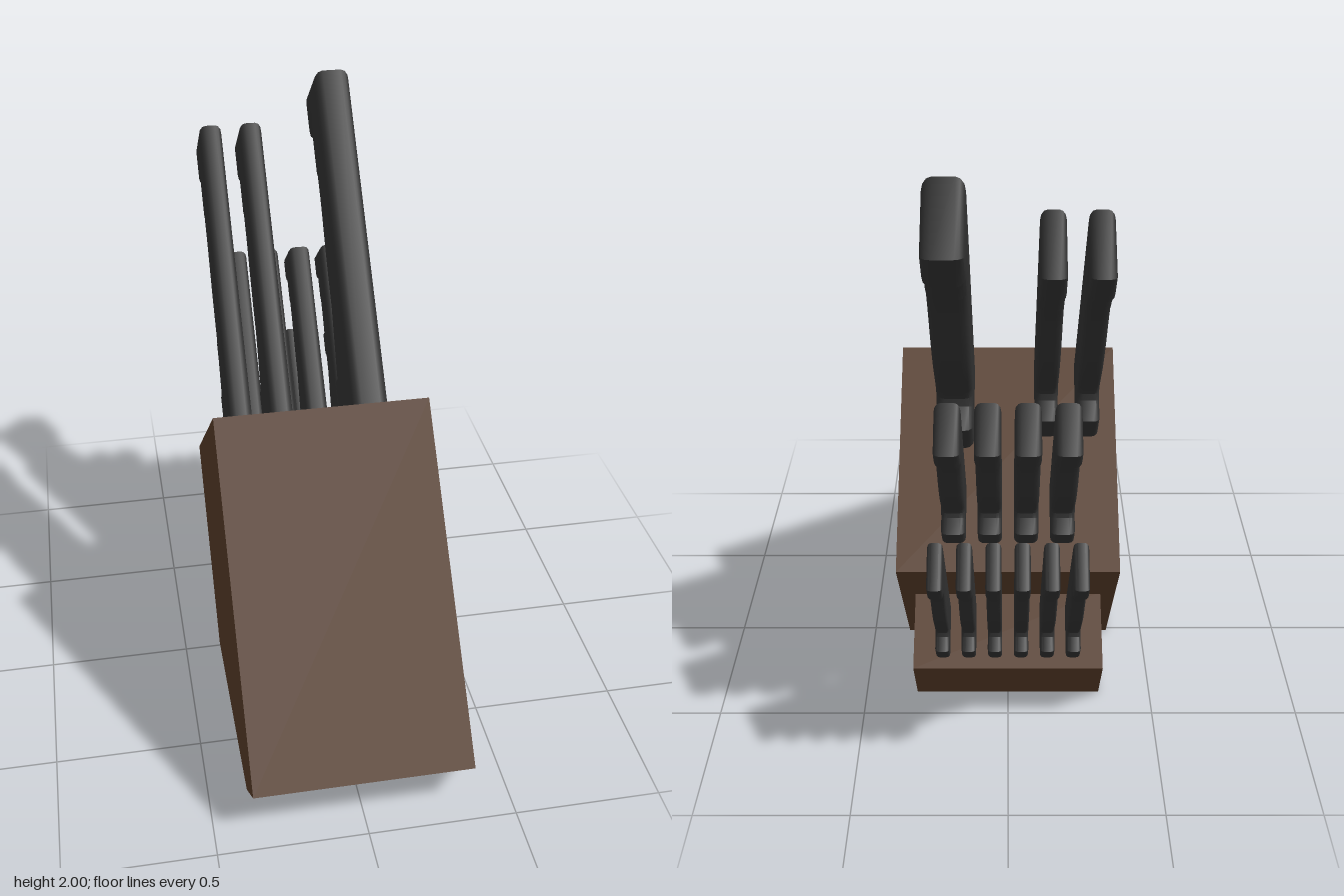
import * as THREE from 'three';
import { toCreasedNormals } from 'three/addons/utils/BufferGeometryUtils.js';

const wood = new THREE.MeshStandardMaterial({ color: 0x553a27 });
wood.name = 'dark walnut';
const black = new THREE.MeshStandardMaterial({ color: 0x303030 });
black.name = 'black handle';

// Side profiles are drawn as (-z, y) and extruded across x.
function extrudeAcross(shape, width, bevel) {
  const depth = width - 2 * bevel;
  const geo = new THREE.ExtrudeGeometry(shape, {
    depth, curveSegments: 20, bevelEnabled: bevel > 0, bevelSize: bevel,
    bevelThickness: bevel, bevelOffset: -bevel, bevelSegments: 3,
  });
  geo.translate(0, 0, -depth / 2);
  geo.rotateY(Math.PI / 2);
  return geo;
}

function block(name, points, width) {
  const shape = new THREE.Shape(points.map(([z, y]) => new THREE.Vector2(-z, y)));
  const mesh = new THREE.Mesh(extrudeAcross(shape, width, 0), wood);
  mesh.name = name;
  return mesh;
}

// Handle outline: a runs along the tilted handle, b from spine to belly.
function handleGeometry({ z, y, length, depth, width, bevel }) {
  const at = (a, b) => new THREE.Vector2(
    -z + 0.64 * a * length + 0.768 * b * depth,
    y + 0.768 * a * length - 0.64 * b * depth);
  const shape = new THREE.Shape();
  const line = (a, b) => { const p = at(a, b); shape.lineTo(p.x, p.y); };
  const start = at(-0.08, 0);
  shape.moveTo(start.x, start.y);
  line(1.2, 0);
  // hooked butt
  line(1.2, 0.262);
  line(1.05, 0.265);
  line(1.03, 0.25);
  line(1.015, 0.21);
  line(0.875, 0.213);
  line(0.86, 0.2);
  // curved grip
  shape.splineThru([[0.757, 0.203], [0.567, 0.223], [0.398, 0.23], [0.21, 0.216]]
    .map(([a, b]) => at(a, b)));
  // finger guard
  line(0.175, 0.22);
  line(0.158, 0.24);
  line(0.156, 0.328);
  line(-0.08, 0.328);
  return toCreasedNormals(extrudeAcross(shape, width, bevel), 0.6);
}

const rows = [
  { name: 'chefKnifeHandle', z: 0.09, y: 1.075, length: 1, depth: 1, width: 0.125, bevel: 0.03, xs: [0.178] },
  { name: 'carvingKnifeHandle', z: 0.09, y: 1.075, length: 0.855, depth: 0.87, width: 0.077, bevel: 0.022, xs: [-0.27, -0.13] },
  { name: 'utilityKnifeHandle', z: -0.26, y: 0.785, length: 0.57, depth: 0.65, width: 0.08, bevel: 0.02, xs: [-0.18, -0.06, 0.06, 0.18] },
  { name: 'steakKnifeHandle', z: -0.366, y: 0.362, length: 0.58, depth: 0.57, width: 0.048, bevel: 0.013, xs: [-0.22, -0.132, -0.044, 0.044, 0.132, 0.22] },
];

export function createModel() {
  const model = new THREE.Group();
  model.name = 'knifeBlock';

  model.add(block('mainBlock',
    [[0.93, 0.16], [0.13, 1.11], [-0.5, 0.585], [-0.015, 0], [0.75, 0.01]], 0.74));
  model.add(block('steakKnifeBlock',
    [[-0.01, 0.002], [-0.325, 0.385], [-0.55, 0.23], [-0.385, 0.002]], 0.64));

  for (const row of rows) {
    const geo = handleGeometry(row);
    row.xs.forEach((x, i) => {
      const handle = new THREE.Mesh(geo, black);
      handle.name = row.name + (i + 1);
      handle.position.x = x;
      model.add(handle);
    });
  }
  return model;
}
